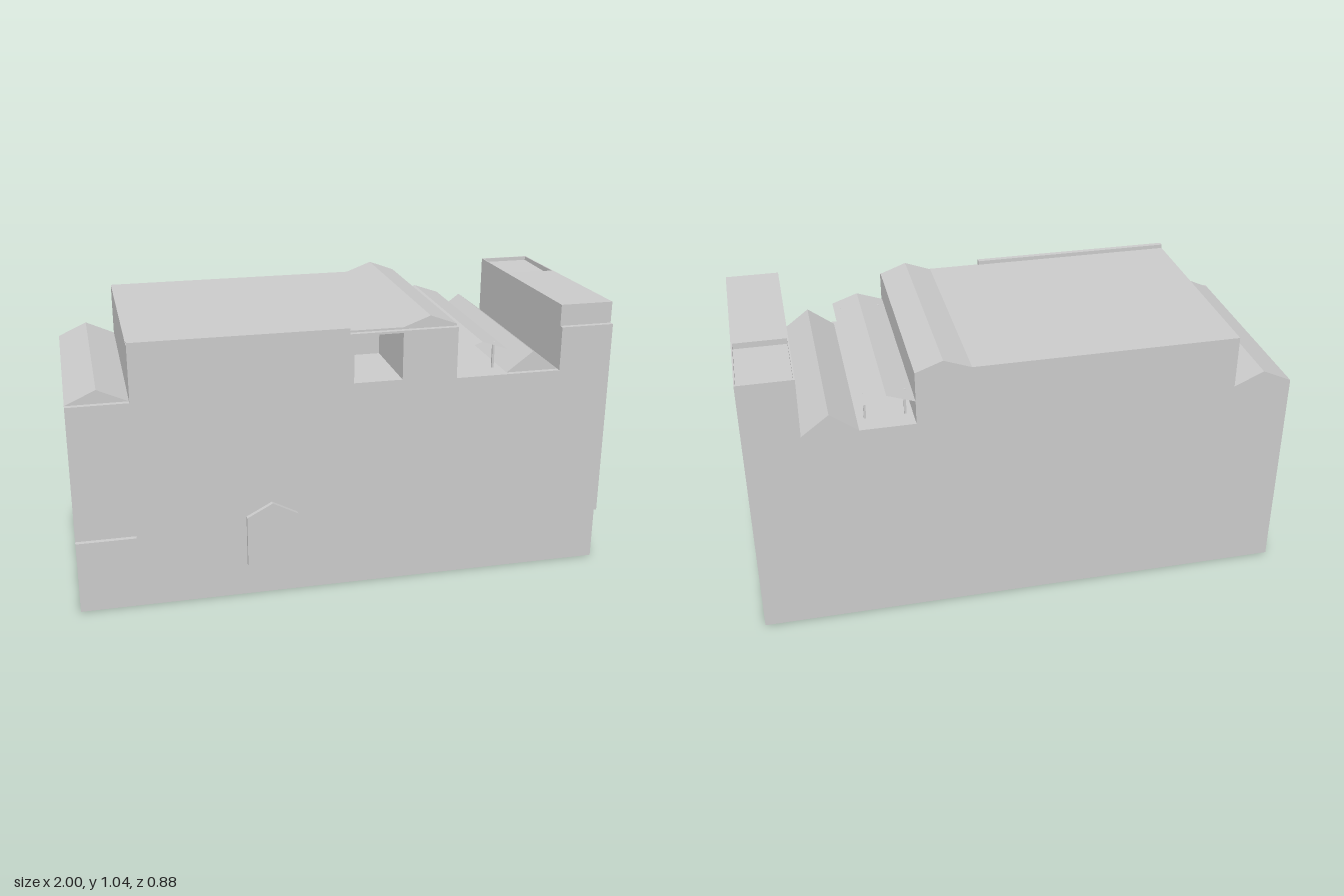
import * as THREE from 'three';

const FRONT = 0.4, BACK = -0.44;
const material = new THREE.MeshStandardMaterial({ color: 0xcccccc, flatShading: true, side: THREE.DoubleSide });

function addMesh(parent, name, geometry) {
  const mesh = new THREE.Mesh(geometry, material);
  mesh.name = name;
  parent.add(mesh);
  return mesh;
}

// Surface made of four-cornered panels, corners anticlockwise from outside
function panels(quads) {
  const pos = [];
  for (const [a, b, c, d] of quads) pos.push(...a, ...b, ...c, ...a, ...c, ...d);
  const g = new THREE.BufferGeometry();
  g.setAttribute('position', new THREE.Float32BufferAttribute(pos, 3));
  g.computeVertexNormals();
  return g;
}

const shapeOf = (points) => new THREE.Shape(points.map(([x, y]) => new THREE.Vector2(x, y)));

function plate(points, depth, z, hole) {
  const shape = shapeOf(points);
  if (hole) shape.holes.push(hole);
  return new THREE.ExtrudeGeometry(shape, { depth, bevelEnabled: false }).translate(0, 0, z);
}

// Tower roof falls gently towards the back
const towerY = (z) => 1.025 + 0.02 * (z - BACK) / (FRONT - BACK);

// Roof outline across the building, left end to tower
const skyline = (z) => [
  [-1, 0], [-1, 0.8], [-0.89, 0.85], [-0.78, 0.8], [-0.78, 1], [0.2, 1], [0.3, 1.037], [0.4, 1],
  [0.4, 0.8], [0.6, 0.8], [0.7, 0.875], [0.8, 0.8], [0.8, towerY(z)], [1, towerY(z)], [1, 0],
];

// Recessed window in the front
const win = { x0: 0.015, x1: 0.195, y0: 0.81, y1: 0.985, back: 0.1 };
const windowCorners = [[win.x0, win.y0], [win.x0, win.y1], [win.x1, win.y1], [win.x1, win.y0]];
const windowHole = () => new THREE.Path(windowCorners.map(([x, y]) => new THREE.Vector2(x, y)));

function buildShell(group) {
  // End walls, open underneath
  const frontShape = shapeOf(skyline(FRONT));
  frontShape.holes.push(windowHole());
  addMesh(group, 'frontWall', new THREE.ShapeGeometry(frontShape).translate(0, 0, FRONT));
  const backWall = new THREE.ShapeGeometry(shapeOf(skyline(BACK)));
  backWall.scale(-1, 1, 1);
  backWall.rotateY(Math.PI);
  backWall.translate(0, 0, BACK);
  backWall.index.array.reverse();
  backWall.computeVertexNormals();
  addMesh(group, 'backWall', backWall);

  // Side walls and roofs follow the skyline; the tower top is built separately
  const f = skyline(FRONT), b = skyline(BACK), strips = [];
  for (let i = 0; i < f.length - 1; i++) {
    if (i === 12) continue;
    strips.push([[...f[i], FRONT], [...f[i + 1], FRONT], [...b[i + 1], BACK], [...b[i], BACK]]);
  }
  addMesh(group, 'roofsAndSides', panels(strips.map(([p, q, r, s]) => [p, s, r, q].reverse())));
}

function buildTowerTop(group) {
  const pitZ = -0.145, floorY = 1.01;
  const top = (x, z) => [x, towerY(z), z];
  addMesh(group, 'towerRoof', panels([[top(0.8, FRONT), top(1, FRONT), top(1, pitZ), top(0.8, pitZ)]]));

  // Sunken terrace with a thin rim
  const outer = [[0.8, pitZ], [1, pitZ], [1, BACK], [0.8, BACK]];
  const inner = [[0.805, pitZ], [0.995, pitZ], [0.995, -0.435], [0.805, -0.435]];
  const quads = [inner.map(([x, z]) => [x, floorY, z])];
  for (let i = 0; i < 4; i++) {
    const j = (i + 1) % 4;
    const a = top(...inner[i]), c = top(...inner[j]);
    quads.push([top(...outer[i]), top(...outer[j]), c, a]);
    quads.push([a, c, [c[0], floorY, c[2]], [a[0], floorY, a[2]]]);
  }
  addMesh(group, 'towerTerrace', panels(quads));
}

function buildFacade(group) {
  const outline = [
    [-1, 0.21], [1, 0.21], [1, 0.965], [0.8, 0.965], [0.8, 0.8], [0.4, 0.8], [0.4, 0.993],
    [0, 0.993], [0, 1.015], [-0.78, 1.015], [-0.78, 0.8], [-1, 0.8],
  ];
  addMesh(group, 'facade', plate(outline, 0.02, FRONT, windowHole()));

  // Window niche: four sides and a back
  const at = (i, z) => [...windowCorners[i % 4], z];
  const niche = [[at(3, win.back), at(2, win.back), at(1, win.back), at(0, win.back)]];
  for (let i = 0; i < 4; i++) {
    niche.push([at(i, FRONT), at(i, win.back), at(i + 1, win.back), at(i + 1, FRONT)]);
  }
  addMesh(group, 'windowNiche', panels(niche));

  // Wall signs
  addMesh(group, 'cornerSign', plate([[-1, 0.21], [-0.785, 0.21], [-0.785, 0.293], [-1, 0.293]], 0.018, 0.42));
  addMesh(group, 'gabledSign',
    plate([[-0.385, 0.135], [-0.195, 0.135], [-0.195, 0.328], [-0.29, 0.378], [-0.385, 0.328]], 0.018, 0.42));
}

function buildCanopy(group) {
  const eave = 0.89, ridge = 0.925;
  const half = (x0, y0, x1, y1) => [[x0, y0, FRONT], [x1, y1, FRONT], [x1, y1, BACK], [x0, y0, BACK]];
  addMesh(group, 'canopyRoof', panels([half(0.4, eave, 0.5, ridge), half(0.5, ridge, 0.6, eave)]));
  for (const x of [0.427, 0.57]) {
    for (const z of [0.33, -0.36]) {
      addMesh(group, 'canopyPost', new THREE.BoxGeometry(0.008, 0.1, 0.008)).position.set(x, 0.85, z);
    }
  }
}

export function createModel() {
  const group = new THREE.Group();
  group.name = 'building';
  buildShell(group);
  buildTowerTop(group);
  buildFacade(group);
  buildCanopy(group);
  return group;
}
